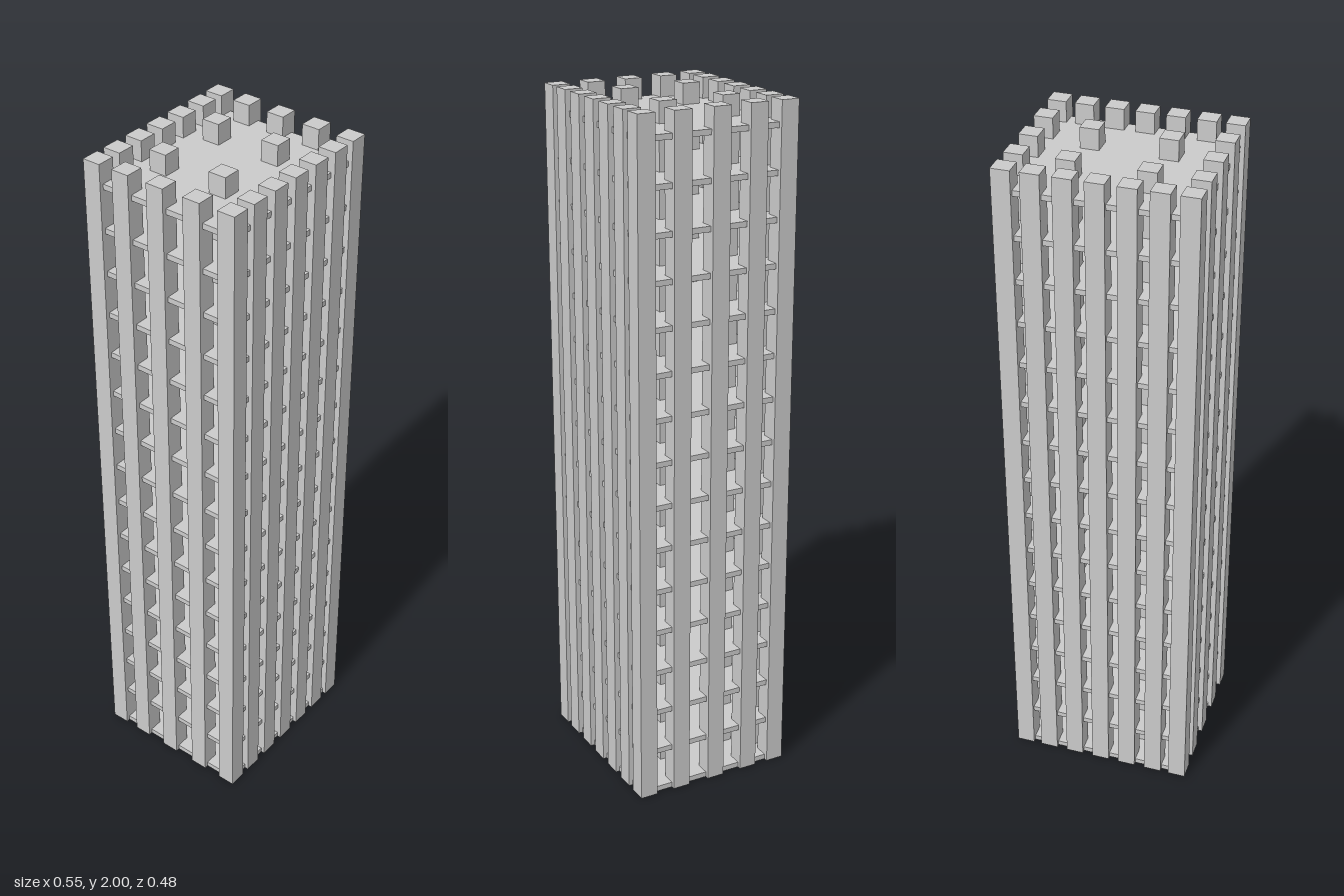
import * as THREE from 'three';

const HEIGHT = 2;
const COLUMN = 0.053;
const SLAB = 0.016;
const FLOORS = 16;

export function createModel() {
  const tower = new THREE.Group();
  tower.name = 'towerFrame';
  const material = new THREE.MeshStandardMaterial({ color: 0xcccccc, flatShading: true });
  const columnGeometry = new THREE.BoxGeometry(COLUMN, HEIGHT, COLUMN);
  const slabGeometry = new THREE.BoxGeometry(0.525, SLAB, 0.46);

  const addGroup = (name) => {
    const group = new THREE.Group();
    group.name = name;
    tower.add(group);
    return group;
  };
  const addColumn = (group, name, x, z) => {
    const column = new THREE.Mesh(columnGeometry, material);
    column.name = name;
    column.position.set(x, HEIGHT / 2, z);
    group.add(column);
  };

  // Outer columns along the front and back, corners included
  const outer = addGroup('outerColumns');
  for (const x of [-0.248, -0.17, -0.085, 0, 0.085, 0.17, 0.248]) {
    addColumn(outer, 'frontColumn', x, 0.215);
    addColumn(outer, 'backColumn', x, -0.215);
  }

  // Columns between the corners on the two sides
  for (const z of [-0.121, -0.009, 0.107]) {
    addColumn(outer, 'leftColumn', 0.248, z);
    addColumn(outer, 'rightColumn', -0.248, z);
  }

  // Four core columns inside
  const core = addGroup('coreColumns');
  for (const x of [-0.107, 0.11])
    for (const z of [-0.116, 0.077]) addColumn(core, 'coreColumn', x, z);

  // Evenly stacked floor slabs, the lowest on the ground
  const floors = addGroup('floorSlabs');
  for (let i = 0; i < FLOORS; i++) {
    const slab = new THREE.Mesh(slabGeometry, material);
    slab.name = 'floorSlab';
    slab.position.y = SLAB / 2 + i * 0.1283;
    floors.add(slab);
  }

  return tower;
}
